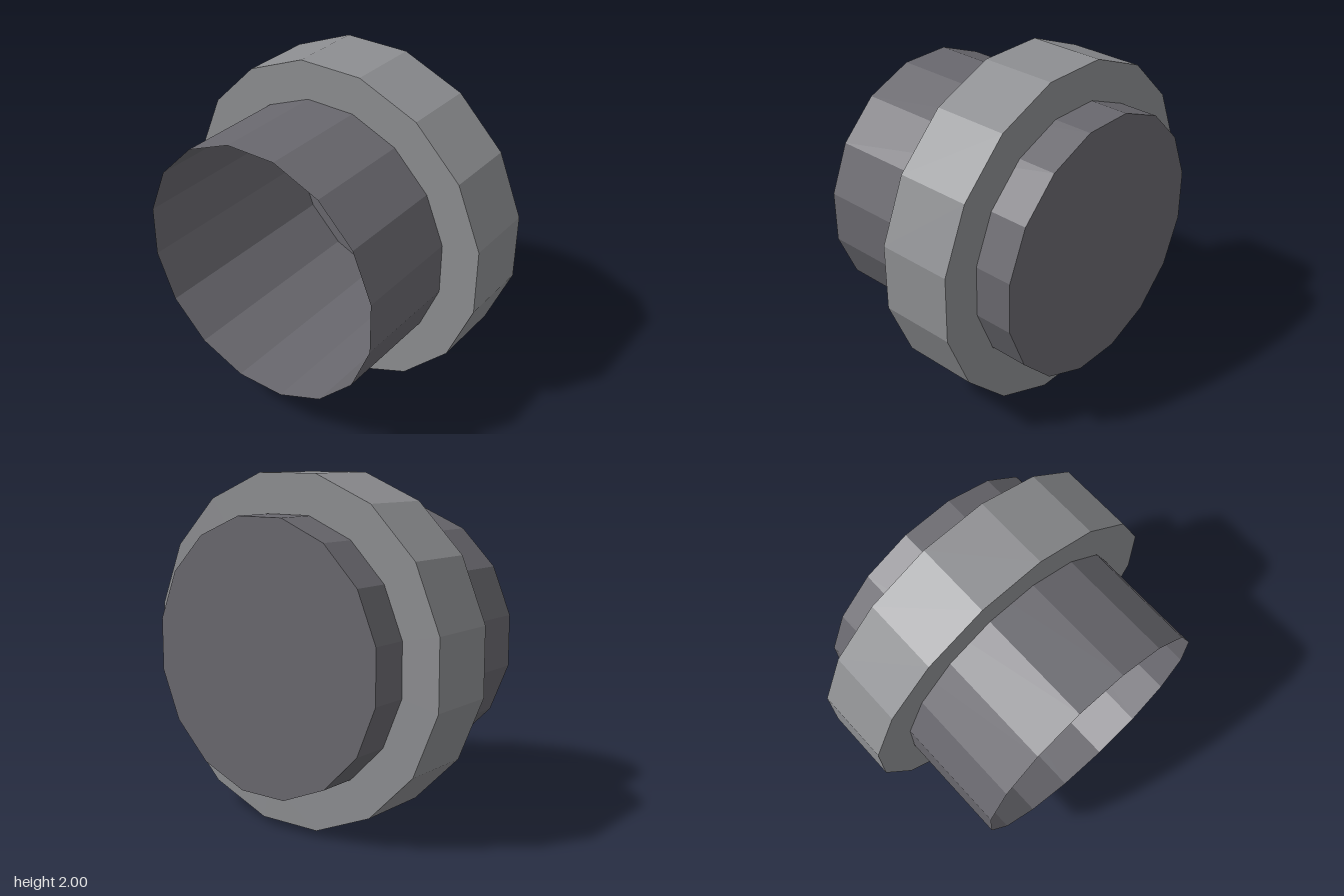
import * as THREE from 'three';

const SIDES = 16;
const APOTHEM = Math.cos(Math.PI / SIDES);

// Faceted solid of revolution along z; profile is [flat-to-centre distance, z] pairs
function facetedTurn(name, profile, material) {
  const points = profile.map(([r, z]) => new THREE.Vector2(r / APOTHEM, z));
  const geometry = new THREE.LatheGeometry(points, SIDES, Math.PI / SIDES);
  geometry.rotateX(Math.PI / 2);
  const mesh = new THREE.Mesh(geometry, material);
  mesh.name = name;
  mesh.position.y = 1;
  return mesh;
}

export function createModel() {
  const options = { flatShading: true, side: THREE.DoubleSide };
  const darkGrey = new THREE.MeshStandardMaterial({ color: 0x69686e, ...options });
  darkGrey.name = 'darkGrey';
  const lightGrey = new THREE.MeshStandardMaterial({ color: 0x8d8e91, ...options });
  lightGrey.name = 'lightGrey';

  const group = new THREE.Group();
  group.name = 'collaredCup';

  // Thin-walled cup, closed at the back and open at the front
  group.add(facetedTurn('cup', [[0, -0.68], [0.772, -0.68], [0.772, 0.68]], darkGrey));

  // Collar fitted around the cup
  group.add(facetedTurn('collar', [[0.773, -0.45], [1, -0.45], [1, 0], [0.773, 0]], lightGrey));

  return group;
}
